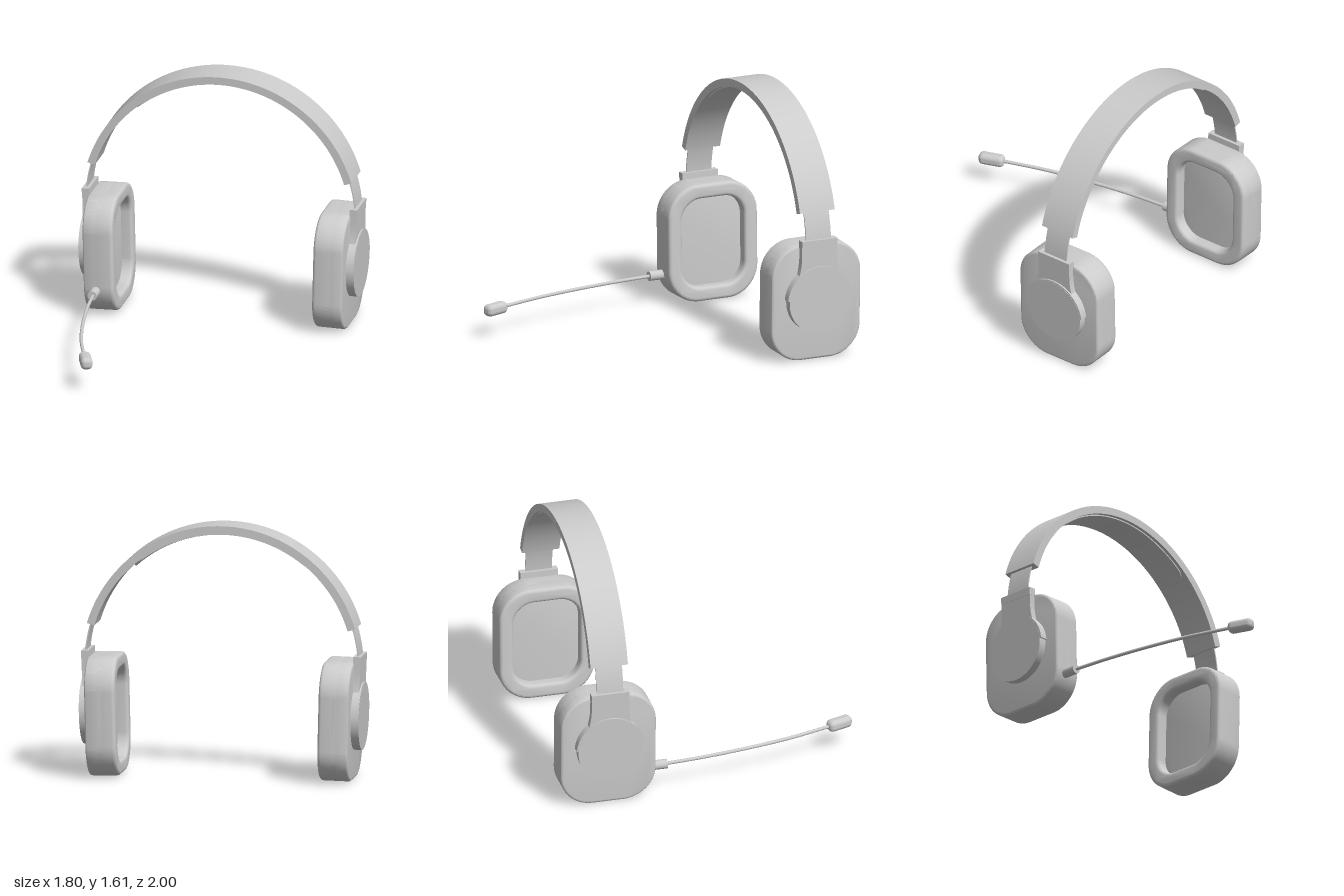
import * as THREE from 'three';
import { toCreasedNormals } from 'three/addons/utils/BufferGeometryUtils.js';
import { RoundedBoxGeometry } from 'three/addons/geometries/RoundedBoxGeometry.js';

const ZC = -0.688;       // depth of the headband and cups
const ARC_Y = 0.717;     // centre height of the headband arc
const CUP = { x: 0.7475, y: 0.383, tilt: -0.024 };
const material = new THREE.MeshStandardMaterial({ color: 0xcccccc });

function add(parent, name, geometry) {
  const mesh = new THREE.Mesh(geometry, material);
  mesh.name = name;
  parent.add(mesh);
  return mesh;
}

// Rounded rectangle around the origin, from half sizes and corner radius
function roundedRect(w, h, r, path = new THREE.Shape()) {
  path.moveTo(w, -h + r);
  path.lineTo(w, h - r);
  path.absarc(w - r, h - r, r, 0, Math.PI / 2);
  path.absarc(-w + r, h - r, r, Math.PI / 2, Math.PI);
  path.absarc(-w + r, -h + r, r, Math.PI, 1.5 * Math.PI);
  path.absarc(w - r, -h + r, r, 1.5 * Math.PI, 2 * Math.PI);
  return path;
}

// Side profile extruded from x0 to x1
function slab(shape, x0, x1, bevel) {
  const geo = new THREE.ExtrudeGeometry(shape, {
    depth: x1 - x0 - 2 * bevel, curveSegments: 16, bevelEnabled: bevel > 0,
    bevelSize: bevel, bevelThickness: bevel, bevelOffset: -bevel, bevelSegments: 4,
  });
  geo.translate(0, 0, x0 + bevel);
  geo.rotateY(Math.PI / 2);
  return toCreasedNormals(geo, 0.6);
}

// Strip curved round the headband centre
function arcStrip(rIn, rOut, a0, a1, width, segments) {
  const shape = new THREE.Shape();
  shape.absarc(0, 0, rOut, a0, a1, false);
  shape.absarc(0, 0, rIn, a1, a0, true);
  const geo = new THREE.ExtrudeGeometry(shape, { depth: width, bevelEnabled: false, curveSegments: segments });
  geo.translate(0, ARC_Y, -width / 2);
  return toCreasedNormals(geo, 0.6);
}

// Thin cushion with round ends, bent along the inside of the band
function padGeometry() {
  const geo = new THREE.BoxGeometry(2, 1, 2, 80, 1, 10);
  const p = geo.attributes.position;
  for (let i = 0; i < p.count; i++) {
    const u = Math.sin(p.getX(i) * Math.PI / 2);
    const w = p.getZ(i);
    const end = Math.max(0, (Math.abs(u) - 0.86) / 0.14);
    const half = 0.1 * Math.sqrt(Math.max(0, 1 - end * end));
    const r = p.getY(i) > 0 ? 0.852 : 0.832 + 0.008 * w * w;
    const a = u * 0.742;
    p.setXYZ(i, r * Math.sin(a), ARC_Y + r * Math.cos(a), w * half);
  }
  geo.computeVertexNormals();
  return geo;
}

// One ear side, built on +x around z = 0
function earSide(name) {
  const side = new THREE.Group();
  side.name = name;
  add(side, 'slider', arcStrip(0.873, 0.881, 0.05, 0.34, 0.175, 16));

  const cup = new THREE.Group();
  cup.name = 'earCup';
  cup.position.set(CUP.x, CUP.y, 0);
  cup.rotation.z = CUP.tilt;
  side.add(cup);

  // Ring cushion over a solid shell whose face is the recess floor
  const ring = roundedRect(0.312, 0.381, 0.21);
  ring.holes.push(roundedRect(0.22, 0.29, 0.14, new THREE.Path()));
  add(cup, 'cushion', slab(ring, -0.0975, 0.04, 0.022));
  add(cup, 'shell', slab(roundedRect(0.312, 0.381, 0.21), -0.025, 0.0975, 0.016));

  // Pivot disc with the half-round yoke hugging its upper part
  const discY = 0.403 - CUP.y;
  const disc = add(cup, 'pivotDisc', new THREE.CylinderGeometry(0.212, 0.212, 0.065, 64));
  disc.rotation.z = -Math.PI / 2;
  disc.position.set(0.1165, discY, 0);

  const half = new THREE.Shape();
  half.absarc(0, discY, 0.2225, 0.07, Math.PI - 0.07, false);
  add(cup, 'yoke', slab(half, 0.09, 0.148, 0));

  // Flared stem joining the yoke to the slider
  const stem = new THREE.Shape();
  const top = 0.8 - CUP.y;
  stem.moveTo(0.142, 0.18);
  stem.quadraticCurveTo(0.123, 0.25, 0.123, 0.32);
  stem.lineTo(0.123, top);
  stem.lineTo(-0.123, top);
  stem.lineTo(-0.123, 0.32);
  stem.quadraticCurveTo(-0.123, 0.25, -0.142, 0.18);
  add(cup, 'stem', slab(stem, 0.092, 0.138, 0));

  const collar = add(cup, 'collar', new THREE.BoxGeometry(0.049, 0.05, 0.248));
  collar.position.set(0.1155, top - 0.024, 0);
  return side;
}

function microphone() {
  const mic = new THREE.Group();
  mic.name = 'microphone';
  const boss = add(mic, 'boomSocket', new THREE.CylinderGeometry(0.031, 0.031, 0.13, 32));
  boss.rotation.x = Math.PI / 2;
  boss.position.set(-0.762, 0.18, -0.35);

  const path = new THREE.CatmullRomCurve3([
    [-0.76, -0.3], [-0.737, -0.05], [-0.692, 0.25], [-0.628, 0.55], [-0.535, 0.85],
  ].map(([x, z]) => new THREE.Vector3(x, 0.18, z)));
  add(mic, 'boom', new THREE.TubeGeometry(path, 48, 0.011, 12));

  const tip = add(mic, 'micTip', new RoundedBoxGeometry(0.076, 0.076, 0.17, 5, 0.03));
  tip.position.set(-0.511, 0.18, 0.913);
  tip.rotation.y = 0.34;
  return mic;
}

export function createModel() {
  const model = new THREE.Group();
  model.name = 'headset';

  const band = new THREE.Group();
  band.name = 'headband';
  band.position.z = ZC;
  add(band, 'band', arcStrip(0.848, 0.898, 0.291, Math.PI - 0.291, 0.245, 72));
  add(band, 'headPad', padGeometry());
  model.add(band);

  // Each side is symmetric front to back, so a half turn makes the other one
  ['leftSide', 'rightSide'].forEach((name, i) => {
    const side = earSide(name);
    side.position.z = ZC;
    side.rotation.y = i * Math.PI;
    model.add(side);
  });

  model.add(microphone());
  return model;
}
